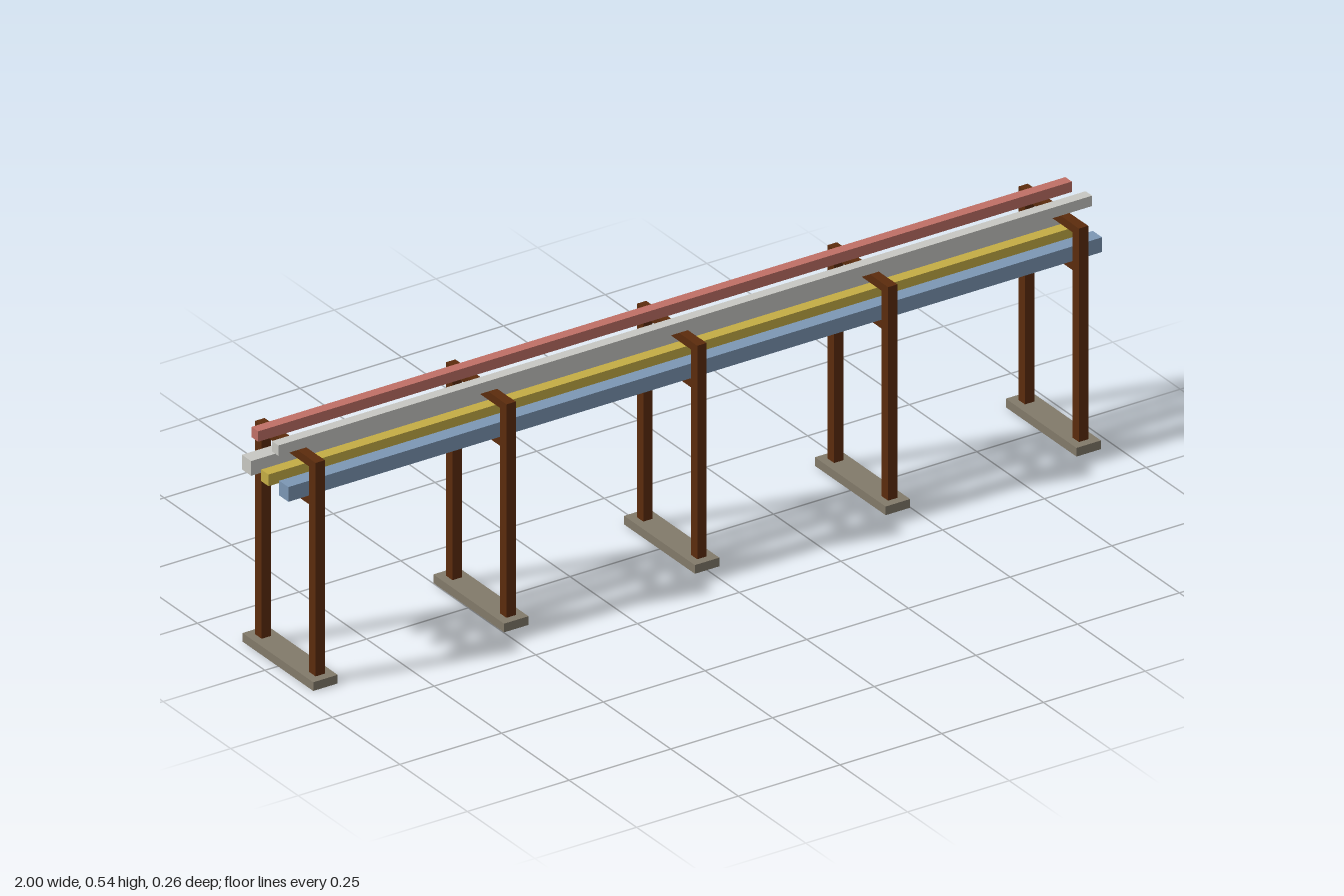
import * as THREE from 'three';

function mat(name, color) {
  const m = new THREE.MeshStandardMaterial({ color });
  m.name = name;
  return m;
}

function addBox(parent, name, material, size, pos) {
  const mesh = new THREE.Mesh(new THREE.BoxGeometry(...size), material);
  mesh.name = name;
  mesh.position.set(...pos);
  parent.add(mesh);
  return mesh;
}

export function createModel() {
  const model = new THREE.Group();
  model.name = 'pipeRack';

  const steel = mat('rustBrown', 0x5c2c0d);
  const concrete = mat('concrete', 0x827a6a);
  const grey = mat('lightGrey', 0xc8c8c3);
  const blue = mat('blue', 0x7c97b4);
  const yellow = mat('yellow', 0xc5ad45);
  const red = mat('red', 0xc07066);

  // Five portal frames, each on a concrete footing
  for (let i = -2; i <= 2; i++) {
    const frame = new THREE.Group();
    frame.name = 'supportFrame';
    frame.position.x = i * 0.469;
    addBox(frame, 'footing', concrete, [0.06, 0.02, 0.262], [0, 0.01, 0]);
    for (const side of [-1, 1]) {
      addBox(frame, 'post', steel, [0.023, 0.493, 0.024], [0, 0.2665, side * 0.1]);
    }
    addBox(frame, 'lowerBeam', steel, [0.022, 0.019, 0.178], [0, 0.416, 0]);
    addBox(frame, 'upperBeam', steel, [0.022, 0.019, 0.178], [0, 0.5035, 0]);
    model.add(frame);
  }

  // Square pipes along the whole length: name, material, width, y, z
  const pipes = [
    ['lowerBluePipe', blue, 0.034, 0.444, 0.07],
    ['lowerYellowPipe', yellow, 0.027, 0.4445, 0],
    ['lowerGreyPipe', grey, 0.034, 0.444, -0.068],
    ['upperGreyPipe', grey, 0.024, 0.529, 0.038],
    ['upperRedPipe', red, 0.024, 0.529, -0.037],
  ];
  for (const [name, material, w, y, z] of pipes) {
    addBox(model, name, material, [2, w, w], [0, y, z]);
  }

  return model;
}
